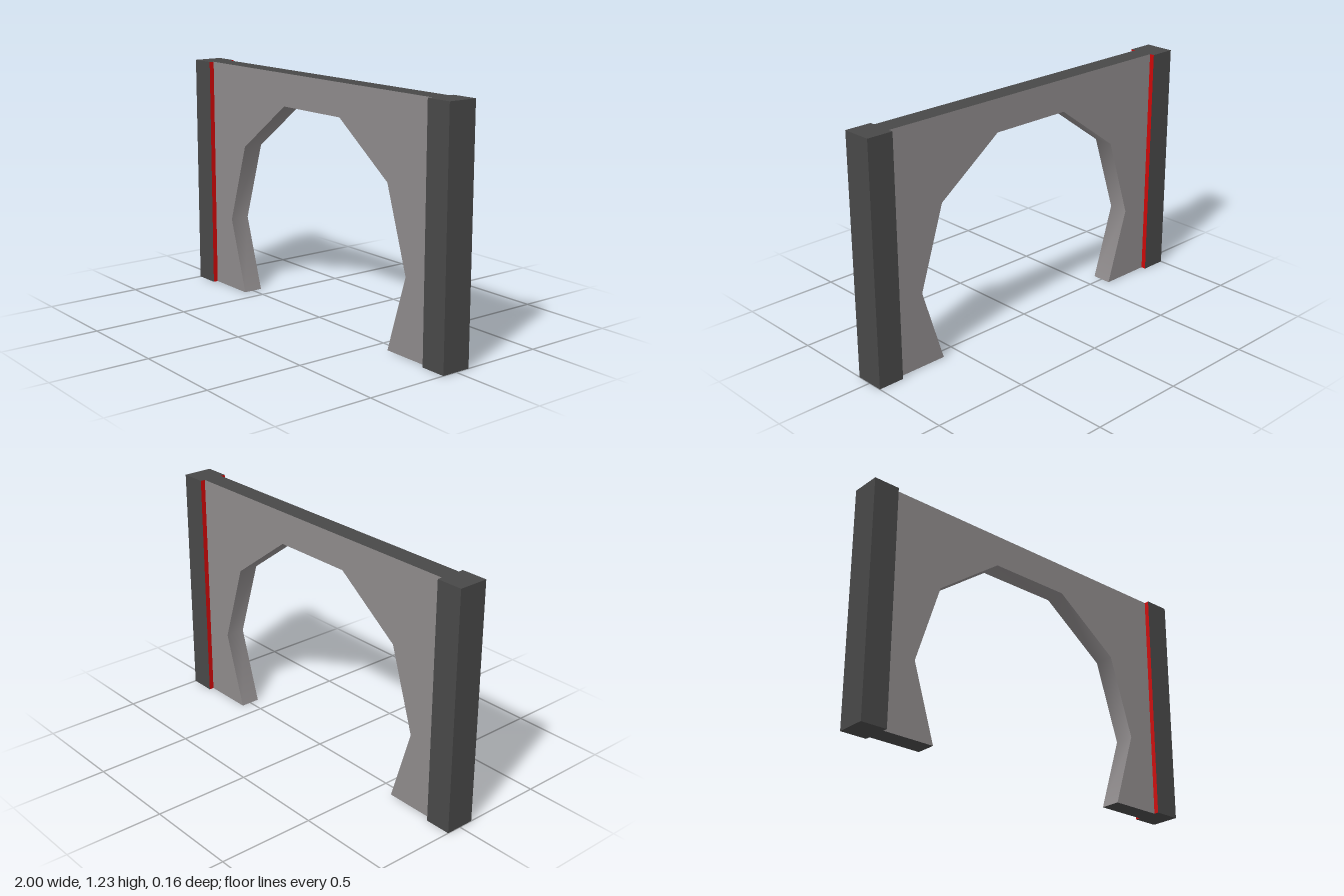
import * as THREE from 'three';

const HEIGHT = 1.23;
const INNER = 0.863;      // x of the pillars' inner faces
const WALL_Z = 0.052;     // half thickness of the wall
const PILLAR_Z = 0.0775;  // half depth of the pillars

function material(name, color) {
  const m = new THREE.MeshStandardMaterial({ color });
  m.name = name;
  return m;
}

export function createModel() {
  const model = new THREE.Group();
  model.name = 'archway';
  const dark = material('darkGrey', 0x484848);
  const grey = material('wallGrey', 0x8e8a8b);
  const red = material('red', 0xcc0808);

  const add = (name, geometry, mat, x = 0, y = 0, z = 0) => {
    const mesh = new THREE.Mesh(geometry, mat);
    mesh.name = name;
    mesh.position.set(x, y, z);
    model.add(mesh);
    return mesh;
  };

  // Faceted opening, from its +x foot over the top to its -x foot
  const half = [[0.59, 0], [0.71, 0.385], [0.575, 0.805], [0.222, 1.062]];
  const arch = [...half, ...half.map(([x, y]) => [-x, y]).reverse()];

  // Wall faces, front and back
  const outline = [[-INNER, 0], [-INNER, HEIGHT], [INNER, HEIGHT], [INNER, 0], ...arch];
  const face = new THREE.ShapeGeometry(new THREE.Shape(outline.map(([x, y]) => new THREE.Vector2(x, y))));
  add('wallFront', face, grey, 0, 0, WALL_Z);
  add('wallBack', face, grey, 0, 0, -WALL_Z).rotation.y = Math.PI;

  // Inside of the opening, smoothly shaded along the arch
  const positions = [];
  const index = [];
  arch.forEach(([x, y], i) => {
    positions.push(x, y, WALL_Z, x, y, -WALL_Z);
    if (i < arch.length - 1) {
      const a = 2 * i;
      index.push(a, a + 2, a + 1, a + 1, a + 2, a + 3);
    }
  });
  const soffit = new THREE.BufferGeometry();
  soffit.setAttribute('position', new THREE.Float32BufferAttribute(positions, 3));
  soffit.setIndex(index);
  soffit.computeVertexNormals();
  add('archSoffit', soffit, grey);

  // Dark top edge of the wall
  const top = new THREE.PlaneGeometry(2 * INNER, 2 * WALL_Z).rotateX(-Math.PI / 2);
  add('wallTop', top, dark, 0, HEIGHT, 0);

  // Mirrored feet and pillars; the pillars are red on their inner face
  const footWidth = INNER - half[0][0];
  const foot = new THREE.PlaneGeometry(footWidth, 2 * WALL_Z).rotateX(Math.PI / 2);
  const pillar = new THREE.BoxGeometry(1 - INNER, HEIGHT, 2 * PILLAR_Z);
  for (const [side, s] of [['left', 1], ['right', -1]]) {
    add(side + 'WallFoot', foot, dark, s * (INNER - footWidth / 2), 0, 0);
    const mats = [s > 0 ? dark : red, s > 0 ? red : dark, dark, dark, dark, dark];
    add(side + 'Pillar', pillar, mats, s * (1 + INNER) / 2, HEIGHT / 2, 0);
  }
  return model;
}
